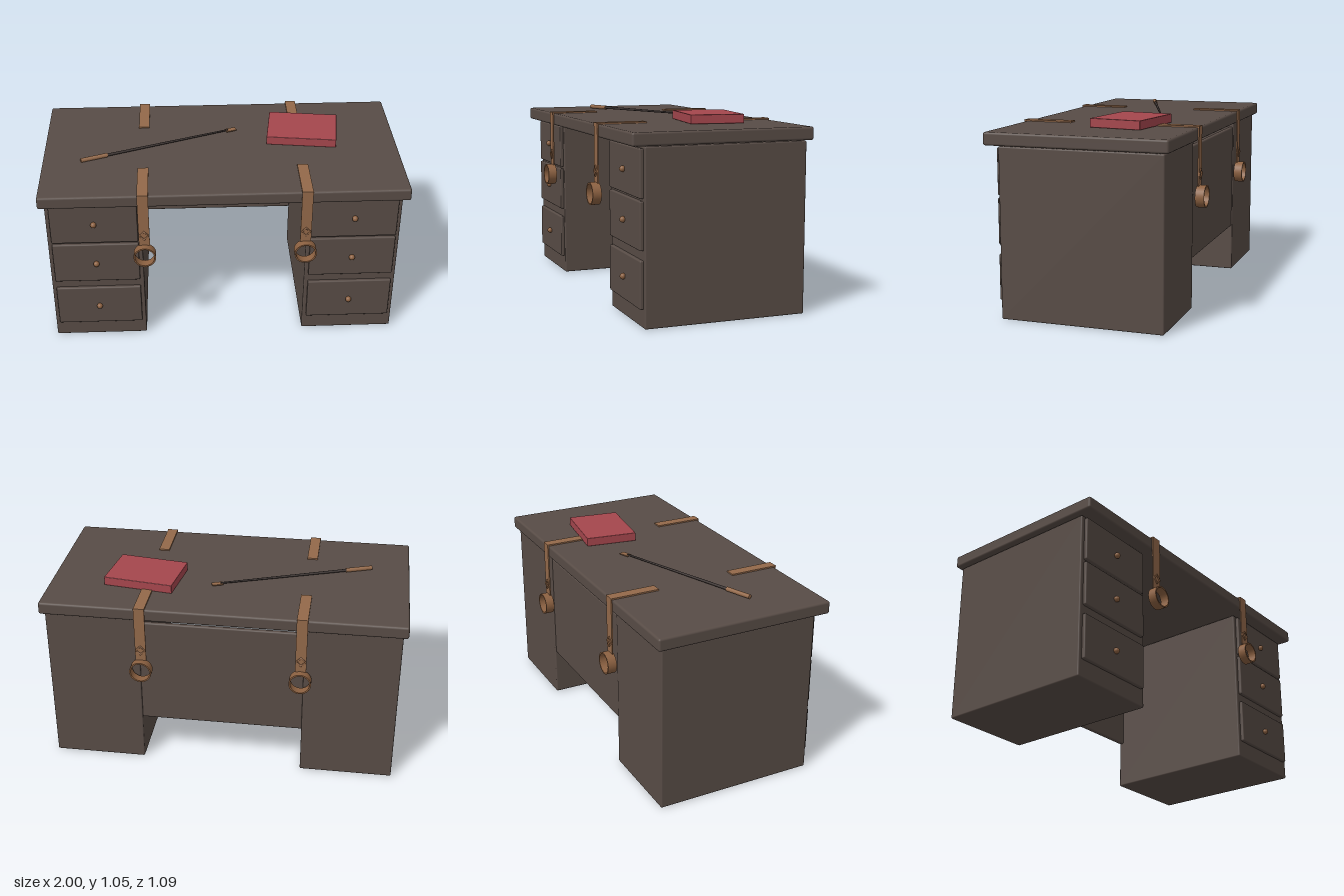
import * as THREE from 'three';
import { RoundedBoxGeometry } from 'three/addons/geometries/RoundedBoxGeometry.js';

const mat = (name, color, extra = {}) => {
  const m = new THREE.MeshStandardMaterial({ color, ...extra });
  m.name = name;
  return m;
};

export function createModel() {
  const wood = mat('dark wood', 0x584c46);
  const leather = mat('tan leather', 0x93694a);
  const brass = mat('brown brass', 0x8c6141);
  const red = mat('red cover', 0xa5464d);
  const black = mat('dark shaft', 0x3a3230);

  const desk = new THREE.Group();
  desk.name = 'desk';

  const add = (parent, name, geometry, material, x = 0, y = 0, z = 0) => {
    const mesh = new THREE.Mesh(geometry, material);
    mesh.name = name;
    mesh.position.set(x, y, z);
    parent.add(mesh);
    return mesh;
  };
  // Rounded box given by its limits on each axis
  const block = (parent, name, material, [x0, x1], [y0, y1], [z0, z1], r = 0.008) =>
    add(parent, name, new RoundedBoxGeometry(x1 - x0, y1 - y0, z1 - z0, 2, r), material,
      (x0 + x1) / 2, (y0 + y1) / 2, (z0 + z1) / 2);

  // Top and back panel
  block(desk, 'deskTop', wood, [-1, 1], [0.93, 1], [-0.5, 0.5], 0.012);
  block(desk, 'backPanel', wood, [-0.455, 0.455], [0.28, 0.9], [-0.467, -0.44]);

  // Pedestals with three drawers each
  for (const side of [-1, 1]) {
    const pedestal = new THREE.Group();
    pedestal.name = side > 0 ? 'leftPedestal' : 'rightPedestal';
    desk.add(pedestal);
    const cx = side * 0.714;
    block(pedestal, 'cabinet', wood, [cx - 0.26, cx + 0.26], [0.004, 0.926], [-0.472, 0.425]);
    for (const y of [0.227, 0.527, 0.79]) {
      block(pedestal, 'drawerFront', wood, [cx - 0.238, cx + 0.238], [y - 0.125, y + 0.125], [0.415, 0.444], 0.007);
      add(pedestal, 'drawerKnob', new THREE.SphereGeometry(0.0165, 20, 14), brass, cx, y, 0.452);
    }
  }

  // Hanging ring: a short tube with a thin wall, facing z
  const ringGeometry = new THREE.LatheGeometry([
    [0.053, -0.025], [0.061, -0.025], [0.061, 0.025], [0.053, 0.025], [0.053, -0.025],
  ].flatMap(([r, h], i, all) => {
    // doubled corners keep the rims sharp
    const p = new THREE.Vector2(r, h);
    return i > 0 && i < all.length - 1 ? [p, p.clone()] : [p];
  }), 32).rotateX(Math.PI / 2);

  // Four straps over the edges, front and back
  for (const x of [-0.44, 0.44]) {
    for (const end of [1, -1]) {
      const strap = new THREE.Group();
      strap.name = end > 0 ? 'frontStrap' : 'backStrap';
      strap.position.x = x;
      strap.rotation.y = end > 0 ? 0 : Math.PI;
      desk.add(strap);
      add(strap, 'strapOnTop', new THREE.BoxGeometry(0.06, 0.008, 0.281), leather, 0, 1.004, 0.3665);
      add(strap, 'strapDrop', new THREE.BoxGeometry(0.06, 0.322, 0.007), leather, 0, 0.847, 0.5035);
      add(strap, 'buckle', new THREE.TorusGeometry(0.025, 0.006, 8, 4), brass, 0, 0.75, 0.508);
      add(strap, 'ring', ringGeometry, brass, 0, 0.628, 0.519);
    }
  }

  // Book lying at a slight angle
  const book = block(desk, 'book', red, [0.276, 0.67], [1.002, 1.051], [-0.276, 0.02], 0.003);
  book.rotation.y = -0.135;

  // Thin rod with a handle and a flat leather tip, built along +x from the handle end
  const rod = new THREE.Group();
  rod.name = 'ridingCrop';
  rod.position.set(-0.785, 1.0135, 0.143);
  rod.rotation.y = Math.atan2(0.322, 0.879);
  desk.add(rod);
  const rodPart = (name, x0, x1, r0, r1, material) =>
    add(rod, name, new THREE.CylinderGeometry(r1, r0, x1 - x0, 20).rotateZ(-Math.PI / 2), material, (x0 + x1) / 2);
  rodPart('handle', 0, 0.154, 0.012, 0.012, leather);
  rodPart('shaft', 0.15, 0.885, 0.008, 0.005, black);
  add(rod, 'tip', new THREE.BoxGeometry(0.062, 0.006, 0.032), leather, 0.903, -0.003, 0);

  return desk;
}
